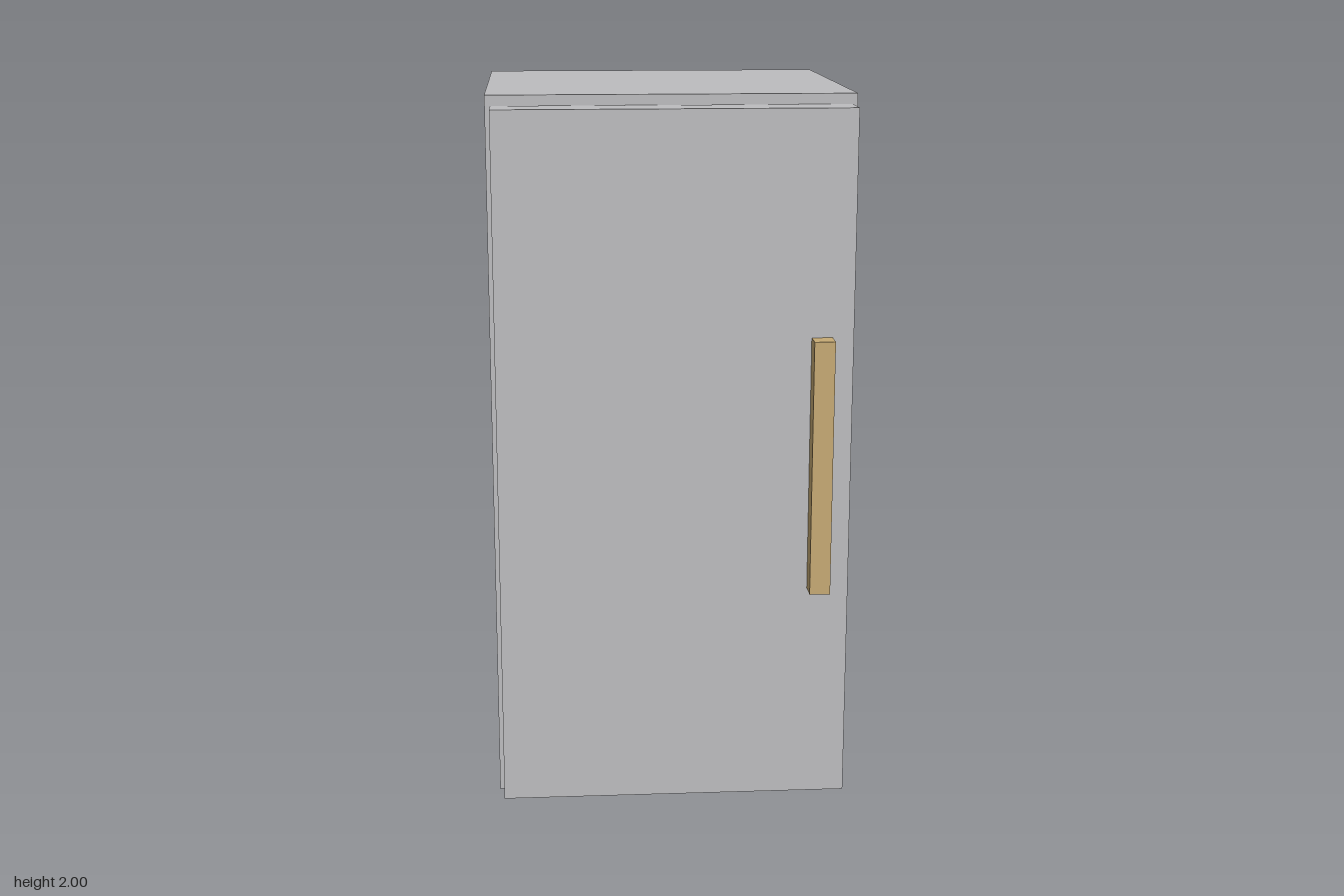
import * as THREE from 'three';

const grey = new THREE.MeshStandardMaterial({ name: 'brushed grey', color: 0xbdbdbf });
const gold = new THREE.MeshStandardMaterial({ name: 'warm gold', color: 0xc6aa74 });

// Box given by its lower and upper corners
function block(name, material, [x0, y0, z0], [x1, y1, z1]) {
  const mesh = new THREE.Mesh(new THREE.BoxGeometry(x1 - x0, y1 - y0, z1 - z0), material);
  mesh.position.set((x0 + x1) / 2, (y0 + y1) / 2, (z0 + z1) / 2);
  mesh.name = name;
  return mesh;
}

export function createModel() {
  const model = new THREE.Group();
  model.name = 'refrigerator';
  model.add(
    // Main body
    block('cabinet', grey, [-0.5, 0, -0.55], [0.5, 2, 0.373]),
    // Door, slightly inset and held off the cabinet by a narrow gap
    block('door', grey, [-0.485, 0.028, 0.382], [0.485, 1.972, 0.496]),
    // Vertical bar handle
    block('handle', gold, [0.37, 0.643, 0.496], [0.427, 1.357, 0.553]),
  );
  return model;
}
